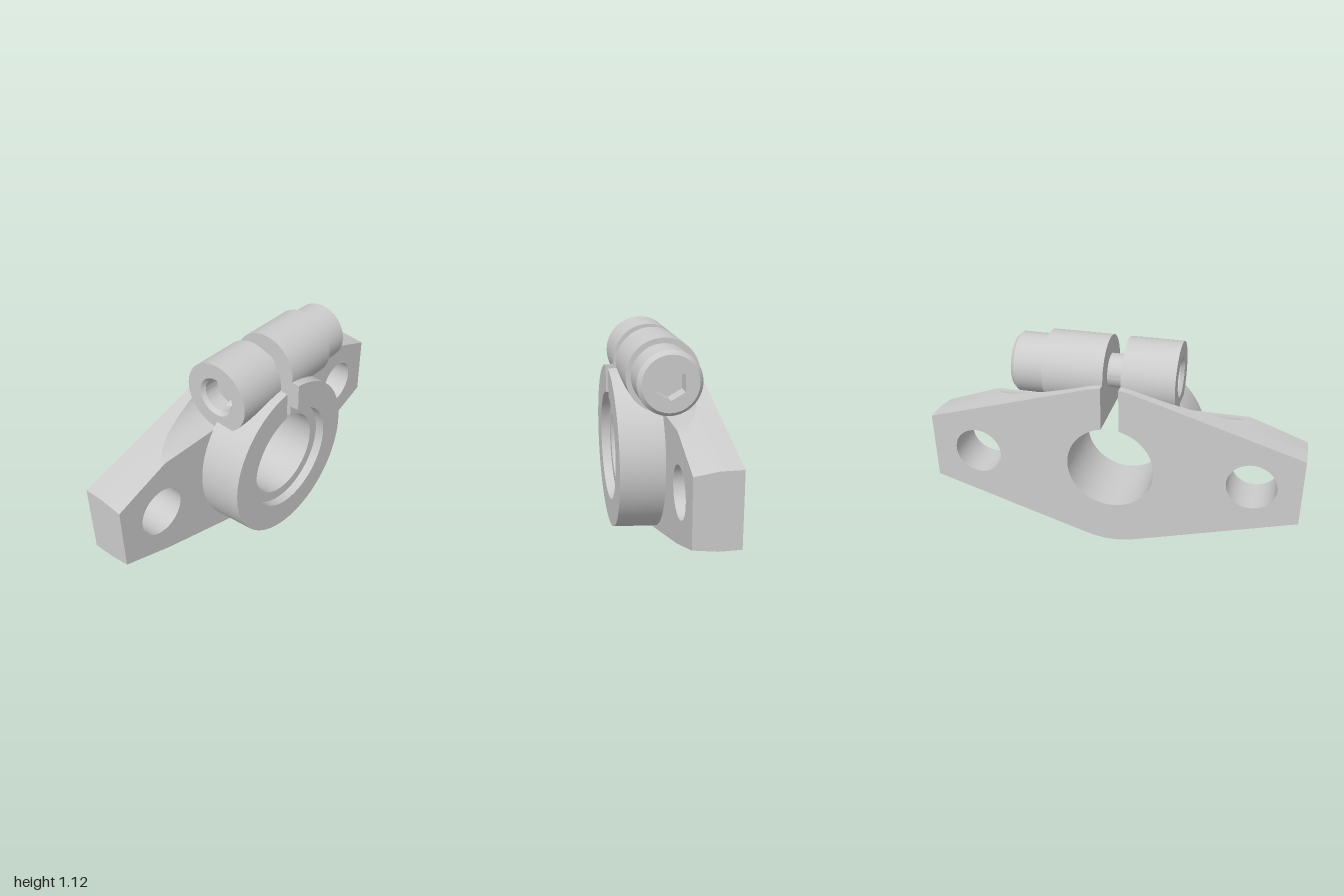
import * as THREE from 'three';
import { toCreasedNormals } from 'three/addons/utils/BufferGeometryUtils.js';

const CY = 0.467;      // bore centre height
const BORE = 0.235;
const SLOT = 0.047;    // half width of the clamp slot
const AXIS = 0.932;    // clamp screw height
const CUT = 0.185;     // screw clearance radius
const BACK = -0.23;

const grey = new THREE.MeshStandardMaterial({ color: 0xcccccc });
const greyDouble = new THREE.MeshStandardMaterial({ color: 0xcccccc, side: THREE.DoubleSide });

function add(group, name, geometry, material = grey) {
  const mesh = new THREE.Mesh(geometry, material);
  mesh.name = name;
  group.add(mesh);
  return mesh;
}

// Flange outline at depth z: counter-clockwise, with slot and bore in one loop
function flangeOutline(z) {
  const right = [];
  const put = (x, y) => right.push(new THREE.Vector2(x, y));
  const tangent = Math.atan(0.3);
  const line = (x) => -0.02 + 0.3 * x;
  const arc = (x) => CY - Math.sqrt(CY * CY - x * x);

  // Rounded bottom, slightly drafted towards the front
  for (let i = 0; i <= 6; i++) {
    const x = CY * Math.sin((tangent * i) / 6);
    put(x, arc(x) + 0.014 * ((z - BACK) / -BACK) * (1 - i / 6));
  }
  // Lug end with trimmed front corners
  const trim = 0.017 * Math.max(0, (z + 0.12) / 0.12);
  put(0.72, line(0.72));
  put(1, line(1) + trim);
  put(1, 2 * CY - line(1) - trim);
  put(0.72, 2 * CY - line(0.72));
  // Top, hollowed by the screw clearance
  const h = z > -CUT - 0.001 ? AXIS - Math.sqrt(Math.max(0, CUT * CUT - z * z)) : 2;
  const kink = Math.max(0.134, (2 * CY + 0.02 - h) / 0.3);
  for (let i = 0; i <= 5; i++) {
    const x = THREE.MathUtils.lerp(kink, SLOT, i / 5);
    put(x, Math.min(h, 2 * CY - (x >= 0.134 ? line(x) : arc(x))));
  }
  // Slot wall and bore
  const start = Math.PI / 2 - Math.asin(SLOT / BORE);
  for (let i = 0; i <= 32; i++) {
    const a = THREE.MathUtils.lerp(start, -Math.PI / 2, i / 32);
    put(BORE * Math.cos(a), CY + BORE * Math.sin(a));
  }
  const left = right.slice(1, -1).reverse().map((p) => new THREE.Vector2(-p.x, p.y));
  return right.concat(left);
}

function buildFlange() {
  const flange = new THREE.Group();
  flange.name = 'flange';

  // Walls lofted through outlines from back to front
  const depths = [BACK, -0.1865];
  for (let k = 0; k <= 14; k++) depths.push(k === 14 ? 0 : -CUT * Math.cos((k * Math.PI) / 28));
  const loops = depths.map(flangeOutline);
  const pos = [];
  for (let k = 0; k + 1 < loops.length; k++) {
    const a = loops[k], b = loops[k + 1];
    for (let i = 0; i < a.length; i++) {
      const j = (i + 1) % a.length;
      const p = [a[i].x, a[i].y, depths[k]], q = [a[j].x, a[j].y, depths[k]];
      const r = [b[j].x, b[j].y, depths[k + 1]], s = [b[i].x, b[i].y, depths[k + 1]];
      pos.push(...p, ...q, ...r, ...p, ...r, ...s);
    }
  }
  const walls = new THREE.BufferGeometry();
  walls.setAttribute('position', new THREE.Float32BufferAttribute(pos, 3));
  add(flange, 'flangeWalls', toCreasedNormals(walls, 0.4));

  // Front and back faces with the two bolt holes
  const face = (z) => {
    const shape = new THREE.Shape(flangeOutline(z));
    for (const s of [-1, 1]) {
      shape.holes.push(new THREE.Path().absarc(s * 0.745, CY, 0.13, 0, Math.PI * 2, true));
    }
    return new THREE.ShapeGeometry(shape, 24);
  };
  add(flange, 'flangeFront', face(0));
  add(flange, 'flangeBack', face(BACK).rotateY(Math.PI).translate(0, 0, BACK));
  for (const s of [-1, 1]) {
    const hole = new THREE.CylinderGeometry(0.13, 0.13, -BACK, 48, 1, true).rotateX(Math.PI / 2);
    add(flange, s > 0 ? 'leftBoltHole' : 'rightBoltHole', hole, greyDouble)
      .position.set(s * 0.745, CY, BACK / 2);
  }
  return flange;
}

// Split collar section with a drafted outside
function collarSection(inner, z0, z1) {
  const outer = 0.453;
  const ao = Math.asin(SLOT / outer), ai = Math.asin(SLOT / inner), up = Math.PI / 2;
  const shape = new THREE.Shape();
  shape.absarc(0, 0, outer, up - ao, up + ao, true);
  shape.absarc(0, 0, inner, up + ai, up - ai + Math.PI * 2, false);
  const geo = new THREE.ExtrudeGeometry(shape, { depth: z1 - z0, bevelEnabled: false, curveSegments: 72 });
  geo.translate(0, 0, z0);
  const p = geo.attributes.position;
  for (let i = 0; i < p.count; i++) {
    const x = p.getX(i), y = p.getY(i);
    if (Math.hypot(x, y) < 0.4) continue;
    const k = 1 - (0.012 / outer) * (p.getZ(i) / 0.23);
    p.setXY(i, Math.abs(x) < SLOT + 0.001 && y > 0 ? x : x * k, y * k);
  }
  return toCreasedNormals(geo.translate(0, CY, 0), 0.5);
}

// Solid turned about the screw axis; profile is [radius, x], counter-clockwise
function turned(profile) {
  const geo = new THREE.LatheGeometry(profile.map(([r, x]) => new THREE.Vector2(r, x)), 64);
  return toCreasedNormals(geo, 0.5).rotateZ(-Math.PI / 2).translate(0, AXIS, 0);
}

export function createModel() {
  const model = new THREE.Group();
  model.name = 'shaftSupport';
  model.add(buildFlange());

  // Split collar with a counterbore at its mouth
  add(model, 'collar', collarSection(BORE, 0, 0.18));
  add(model, 'collarLip', collarSection(0.293, 0.18, 0.23));

  // Clamp barrels either side of the slot
  add(model, 'rightClampBarrel', turned([
    [0.105, -0.325], [0.187, -0.325], [0.187, -SLOT], [0.088, -SLOT], [0.088, -0.305], [0.105, -0.325],
  ]));
  add(model, 'leftClampBarrel', turned([
    [0.088, SLOT], [0.187, SLOT], [0.187, 0.37], [0.088, 0.37], [0.088, SLOT],
  ]));

  // Socket head screw
  add(model, 'screwShaft', turned([[0, -0.22], [0.09, -0.22], [0.09, 0.38]]));
  add(model, 'screwHead', turned([[0.16, 0.36], [0.16, 0.533], [0.14, 0.555]]));
  const face = new THREE.Shape().absarc(0, 0, 0.14, 0, Math.PI * 2, false);
  const hex = [];
  for (let i = 0; i < 6; i++) {
    const a = Math.PI / 2 - (i * Math.PI) / 3;
    hex.push(new THREE.Vector2(0.081 * Math.cos(a), 0.081 * Math.sin(a)));
  }
  face.holes.push(new THREE.Path(hex));
  const socket = new THREE.ExtrudeGeometry(face, { depth: 0.085, bevelEnabled: false, curveSegments: 32 });
  add(model, 'hexSocket', socket.translate(0, 0, 0.47).rotateY(Math.PI / 2).translate(0, AXIS, 0));
  const floor = new THREE.CircleGeometry(0.1, 24).rotateY(Math.PI / 2);
  add(model, 'socketFloor', floor.translate(0.475, AXIS, 0));

  return model;
}
